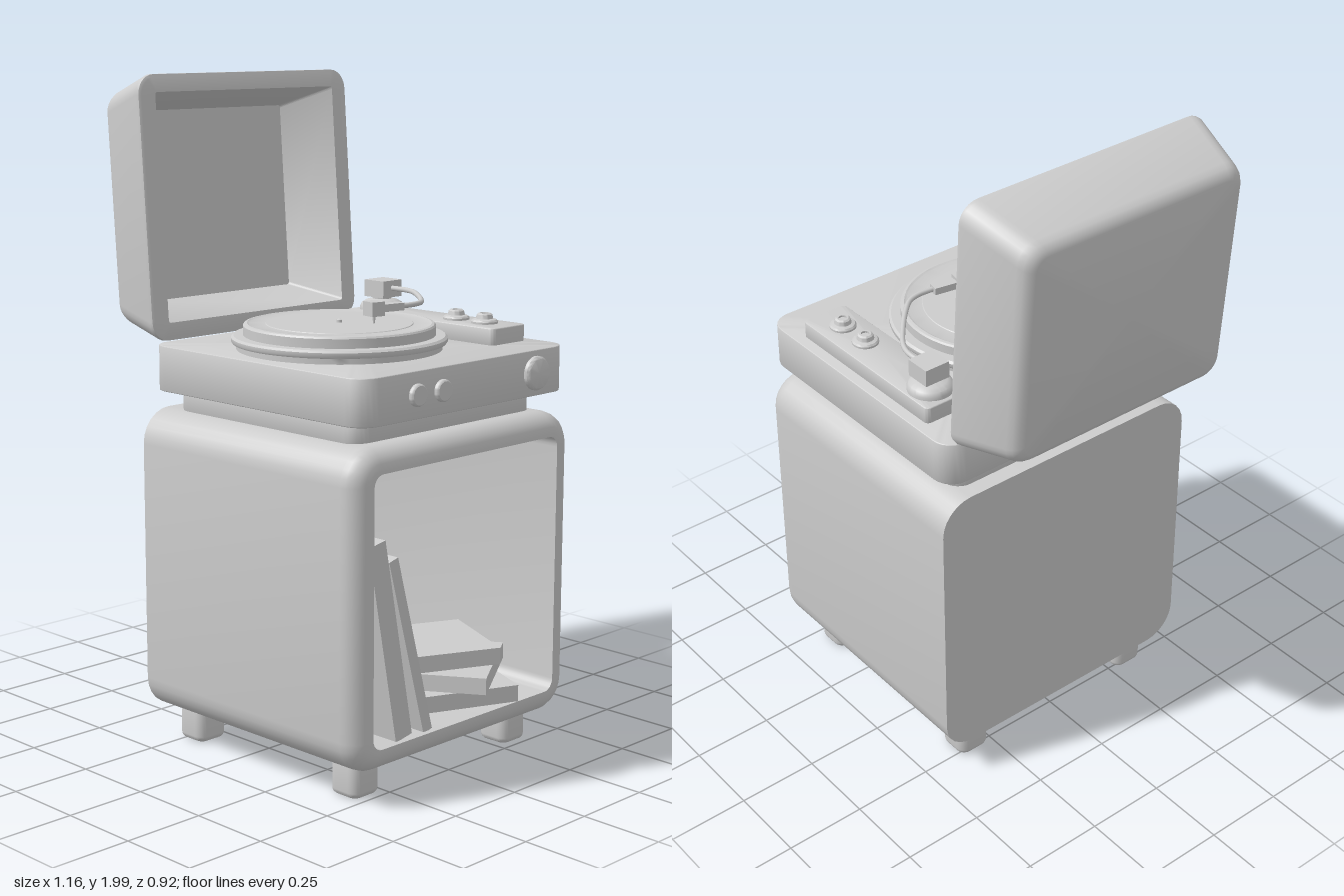
import * as THREE from 'three';
import { toCreasedNormals } from 'three/addons/utils/BufferGeometryUtils.js';

const gray = new THREE.MeshStandardMaterial({ color: 0xcccccc });
gray.name = 'plain gray';

// Rounded rectangle in the y/z plane, counter-clockwise seen from +x
function ring([x, hy, hz, r]) {
  const pts = [], n = 6;
  [[1, 1], [-1, 1], [-1, -1], [1, -1]].forEach(([sy, sz], c) => {
    for (let i = 0; i <= n; i++) {
      const a = (c + i / n) * Math.PI / 2;
      pts.push([x, sy * (hy - r) + r * Math.cos(a), sz * (hz - r) + r * Math.sin(a)]);
    }
  });
  return pts;
}

// Skin a list of [x, halfHeight, halfWidth, cornerRadius] sections
function loft(sections) {
  const rings = sections.map(ring), pos = [], n = rings[0].length;
  for (let s = 0; s + 1 < rings.length; s++) {
    for (let j = 0; j < n; j++) {
      const k = (j + 1) % n, a = rings[s], b = rings[s + 1];
      pos.push(...a[j], ...a[k], ...b[j], ...a[k], ...b[k], ...b[j]);
    }
  }
  const g = new THREE.BufferGeometry();
  g.setAttribute('position', new THREE.Float32BufferAttribute(pos, 3));
  return toCreasedNormals(g, 0.6);
}

// Sections easing over a rounded edge that ends at x
function roundEdge(x, hy, hz, r, e) {
  return [0, 1, 2, 3, 4, 5].map(i => {
    const a = i / 5 * Math.PI / 2, inset = e * (1 - Math.cos(a));
    return [x - e + e * Math.sin(a), hy - inset, hz - inset, r - inset];
  });
}

// Upright slab with rounded vertical corners and slightly rounded ends
function slab(hx, hz, r, h, e) {
  const top = roundEdge(h / 2, hx, hz, r, e);
  const bottom = top.map(([x, ...rest]) => [-x, ...rest]).reverse();
  return loft([[-h / 2, 0, 0, 0], ...bottom, ...top, [h / 2, 0, 0, 0]]).rotateZ(Math.PI / 2);
}

const lathe = (profile, seg = 48) =>
  toCreasedNormals(new THREE.LatheGeometry(profile.map(p => new THREE.Vector2(...p)), seg), 0.6);

export function createModel() {
  const model = new THREE.Group();
  const add = (name, geometry, x, y, z, parent = model) => {
    const m = new THREE.Mesh(geometry, gray);
    m.name = name;
    m.position.set(x, y, z);
    parent.add(m);
    return m;
  };

  // Cabinet, open on the +x side
  add('cabinet', loft([
    [-0.31, 0, 0, 0], [-0.31, 0.46, 0.46, 0.1],
    ...roundEdge(0.567, 0.46, 0.46, 0.1, 0.06),
    [0.567, 0.39, 0.387, 0.035], [-0.26, 0.39, 0.387, 0.035], [-0.26, 0, 0, 0],
  ]), 0, 0.56, 0);

  // Feet
  for (const x of [-0.22, 0.43])
    for (const z of [-0.32, 0.32])
      add('foot', slab(0.054, 0.054, 0.03, 0.11, 0.018), x, 0.055, z);

  // Neck and deck
  add('neck', slab(0.373, 0.373, 0.05, 0.08, 0.004), 0.113, 1.05, 0);
  add('deck', slab(0.435, 0.435, 0.065, 0.135, 0.004), 0.125, 1.1475, -0.005);

  // Hinged lid, a tapered open box
  const lid = add('lid', loft([
    [-0.228, 0, 0, 0], [-0.228, 0.315, 0.35, 0.04], [-0.222, 0.331, 0.366, 0.05],
    [-0.208, 0.343, 0.378, 0.058], [-0.19, 0.35, 0.385, 0.06],
    [-0.015, 0.391, 0.424, 0.06], [-0.004, 0.39, 0.423, 0.059], [0, 0.382, 0.415, 0.055],
    [0, 0.338, 0.363, 0.008], [-0.195, 0.288, 0.317, 0.008], [-0.195, 0, 0, 0],
  ]), -0.333, 1.606, -0.007);
  lid.rotation.z = 0.07;

  // Platter, record and spindle
  add('platter', lathe([[0.3, 0], [0.3, 0.018], [0.311, 0.02], [0.315, 0.026], [0.315, 0.036],
    [0.308, 0.042], [0.28, 0.043], [0.28, 0.07], [0.276, 0.075], [0.268, 0.077], [0.262, 0.074],
    [0.215, 0.074], [0.213, 0.076], [0, 0.076]], 64), 0.13, 1.213, 0.083);
  add('spindle', lathe([[0.008, 0], [0.008, 0.012], [0, 0.016]], 16), 0.13, 1.285, 0.083);

  // Control panel with two turning knobs
  add('controlPanel', slab(0.3, 0.075, 0.015, 0.055, 0.004), 0.125, 1.2375, -0.33);
  for (const x of [0.215, 0.327])
    add('panelKnob', lathe([[0.04, 0], [0.04, 0.008], [0.036, 0.013], [0.026, 0.016], [0.023, 0.028],
      [0.018, 0.032], [0.012, 0.032], [0.012, 0.026], [0, 0.026]], 32), x, 1.263, -0.33);

  // Tonearm
  const arm = new THREE.Group();
  arm.name = 'tonearm';
  model.add(arm);
  add('tonearmBase', lathe([[0.068, 0], [0.068, 0.012], [0.062, 0.024], [0.048, 0.032], [0.03, 0.036],
    [0.03, 0.05], [0, 0.05]]), -0.095, 1.263, -0.33, arm);
  add('tonearmPivot', new THREE.BoxGeometry(0.08, 0.052, 0.082), -0.093, 1.331, -0.333, arm);
  const path = new THREE.CatmullRomCurve3([[-0.06, -0.333], [0, -0.333], [0.045, -0.318], [0.12, -0.263],
    [0.195, -0.195], [0.228, -0.155], [0.239, -0.115], [0.236, -0.05]]
    .map(([x, z]) => new THREE.Vector3(x, 1.333, z)));
  add('tonearmTube', new THREE.TubeGeometry(path, 40, 0.008, 10), 0, 0, 0, arm);
  const head = new THREE.Group();
  head.name = 'headshell';
  head.position.set(0.218, 1.333, 0.03);
  head.rotation.y = -0.17;
  arm.add(head);
  add('headshellNeck', new THREE.BoxGeometry(0.034, 0.022, 0.08), 0, 0, -0.058, head);
  add('cartridge', new THREE.BoxGeometry(0.045, 0.042, 0.045), 0, 0, 0, head);
  add('stylus', new THREE.CylinderGeometry(0.006, 0.002, 0.024, 8), 0, -0.032, 0, head);

  // Side knobs on the +x face of the deck
  for (const [z, r, d] of [[0.215, 0.032, 0.016], [0.113, 0.032, 0.016], [-0.287, 0.05, 0.02]]) {
    const knob = add('sideKnob', lathe([[r, -0.005], [r, d * 0.6], [r * 0.92, d * 0.9],
      [r * 0.85, d], [0, d]], 32), 0.558, 1.148, z);
    knob.rotation.z = -Math.PI / 2;
  }

  // Leaning records: [z, y, lean, length, thickness]
  for (const [z, y, lean, len, t] of [[0.302, 0.463, 0.19, 0.59, 0.066], [0.22, 0.433, 0.268, 0.547, 0.036]])
    add('leaningRecord', new THREE.BoxGeometry(0.56, len, t), 0.27, y, z).rotation.x = lean;

  // Stacked books: [corner x, corner z, y, depth, width, turn]
  for (const [cx, cz, y, d, w, t] of [
    [0.57, -0.225, 0.197, 0.4, 0.37, 0.4],
    [0.57, -0.08, 0.25, 0.36, 0.36, 1.0],
    [0.52, -0.2, 0.306, 0.31, 0.29, 0.43],
  ]) {
    const x = cx - d / 2 * Math.cos(t) - w / 2 * Math.sin(t);
    const z = cz - d / 2 * Math.sin(t) + w / 2 * Math.cos(t);
    add('stackedBook', new THREE.BoxGeometry(d, 0.05, w), x, y, z).rotation.y = -t;
  }
  return model;
}
